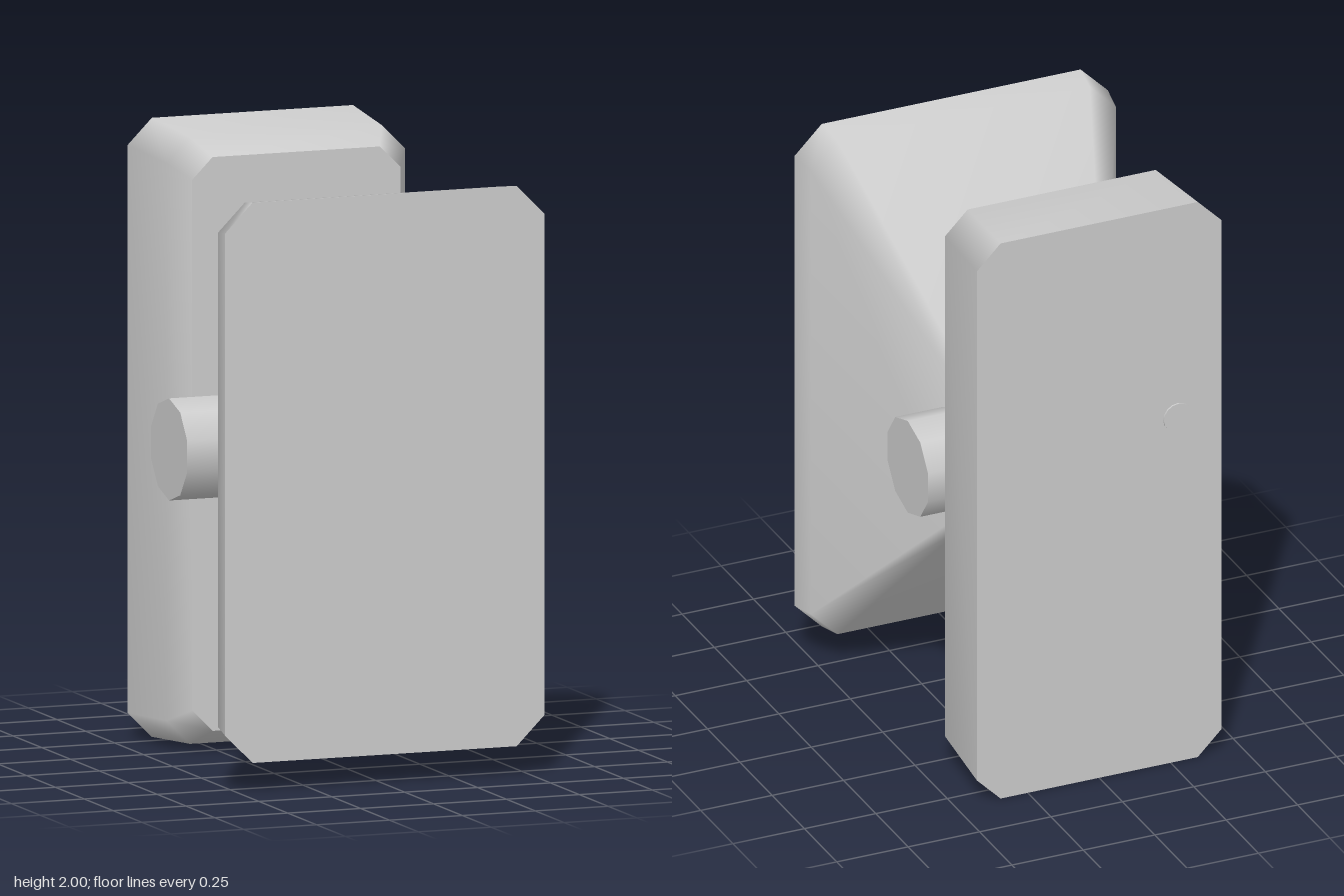
import * as THREE from 'three';

const CENTRE_Y = 1.0;

// Rectangle with cut corners, counter-clockwise seen from +z
function octagon({ z, w, h, c }) {
  return [
    [w, -h + c], [w, h - c], [w - c, h], [-w + c, h],
    [-w, h - c], [-w, -h + c], [-w + c, -h], [w - c, -h],
  ].map(([x, y]) => [x, y, z]);
}

function surface(points, index) {
  const g = new THREE.BufferGeometry();
  g.setAttribute('position', new THREE.Float32BufferAttribute(points.flat(), 3));
  g.setIndex(index);
  g.computeVertexNormals();
  return g;
}

// Smooth sides through the sections (front to back), with flat end caps
function panel(name, sections, material) {
  const loops = sections.map(octagon);
  const n = 8;
  const sides = [];
  for (let s = 0; s < loops.length - 1; s++) {
    for (let i = 0; i < n; i++) {
      const a = s * n + i, b = s * n + (i + 1) % n;
      sides.push(a, a + n, b, b, a + n, b + n);
    }
  }
  const front = [], back = [];
  for (let i = 1; i < n - 1; i++) {
    front.push(0, i, i + 1);
    back.push(0, i + 1, i);
  }
  const group = new THREE.Group();
  group.name = name;
  const add = (part, geometry) => {
    const mesh = new THREE.Mesh(geometry, material);
    mesh.name = name + part;
    group.add(mesh);
  };
  add('Sides', surface(loops.flat(), sides));
  add('FrontFace', surface(loops[0], front));
  add('BackFace', surface(loops[loops.length - 1], back));
  group.position.y = CENTRE_Y;
  return group;
}

export function createModel() {
  const model = new THREE.Group();
  model.name = 'hingedPanels';
  const grey = new THREE.MeshStandardMaterial({ color: 0xcccccc });
  grey.name = 'light grey';

  // Front plate tapering back to the hinge
  model.add(panel('frontPlate', [
    { z: 0.576, w: 0.548, h: 0.905, c: 0.095 },
    { z: 0.48, w: 0.534, h: 0.89, c: 0.092 },
    { z: -0.045, w: 0.288, h: 0.306, c: 0.035 },
  ], grey));

  // Rear box with a bevelled front rim
  model.add(panel('rearBox', [
    { z: -0.19, w: 0.357, h: 0.927, c: 0.07 },
    { z: -0.28, w: 0.409, h: 0.98, c: 0.08 },
    { z: -0.57, w: 0.428, h: 1.0, c: 0.083 },
  ], grey));

  // Ten-sided hinge barrel lying along x
  const barrel = new THREE.Mesh(
    new THREE.CylinderGeometry(0.165, 0.165, 0.93, 10, 1, false, Math.PI / 2), grey);
  barrel.name = 'hingeBarrel';
  barrel.rotation.z = Math.PI / 2;
  barrel.position.set(0, 1.004, -0.117);
  model.add(barrel);

  // Small round button on the back
  const button = new THREE.Mesh(
    new THREE.CylinderGeometry(0.051, 0.051, 0.016, 16), grey);
  button.name = 'backButton';
  button.rotation.x = Math.PI / 2;
  button.position.set(-0.275, 1.24, -0.568);
  model.add(button);

  return model;
}
